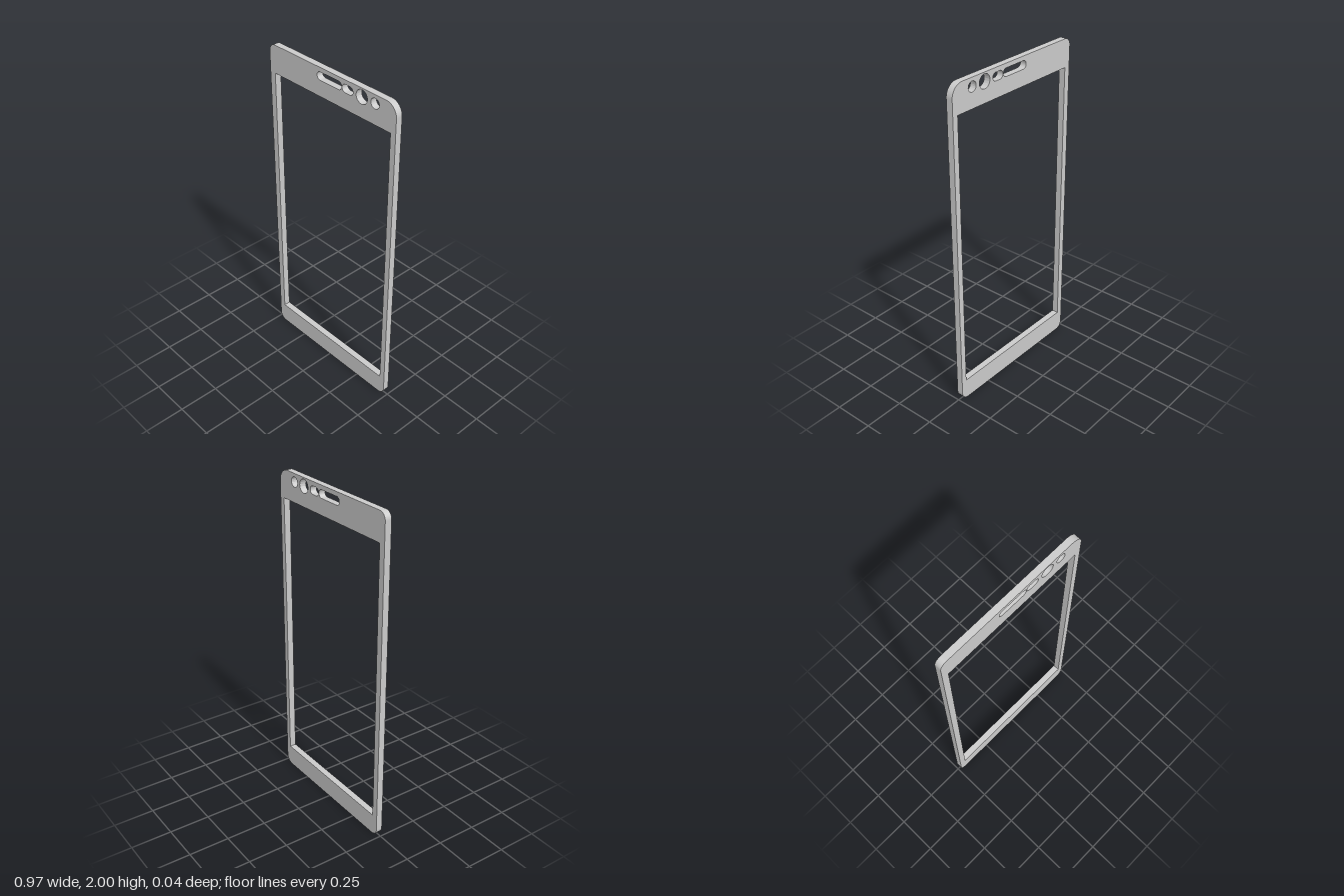
import * as THREE from 'three';

const DEPTH = 0.04;

// Rounded rectangle traced anticlockwise, one radius per corner
function roundedRect(path, x0, y0, x1, y1, { bl, br, tr, tl }) {
  const q = Math.PI / 2;
  path.absarc(x0 + bl, y0 + bl, bl, 2 * q, 3 * q, false);
  path.absarc(x1 - br, y0 + br, br, 3 * q, 4 * q, false);
  path.absarc(x1 - tr, y1 - tr, tr, 0, q, false);
  path.absarc(x0 + tl, y1 - tl, tl, q, 2 * q, false);
  path.closePath();
  return path;
}

// Rounded opening, given by its centre and half sizes
function slot(cx, cy, hw, hh) {
  const r = hh * 0.98;
  return roundedRect(new THREE.Path(), cx - hw, cy - hh, cx + hw, cy + hh,
    { bl: r, br: r, tr: r, tl: r });
}

function hole(cx, cy, r) {
  return new THREE.Path().absarc(cx, cy, r, 0, Math.PI * 2, false);
}

export function createModel() {
  const group = new THREE.Group();
  group.name = 'screenBezel';

  // Outer outline, with a larger radius on the upper left corner
  const outline = roundedRect(new THREE.Shape(), -0.485, 0, 0.485, 2,
    { bl: 0.045, br: 0.05, tr: 0.075, tl: 0.045 });

  // Display window
  const display = new THREE.Path([
    [-0.445, 0.13], [0.449, 0.13], [0.449, 1.83], [-0.445, 1.83],
  ].map(([x, y]) => new THREE.Vector2(x, y)));
  display.closePath();

  // Earpiece slot, sensor slot, camera hole and small sensor hole
  outline.holes.push(
    display,
    slot(-0.001, 1.95, 0.094, 0.024),
    slot(0.137, 1.95, 0.04, 0.024),
    hole(0.241, 1.95, 0.041),
    hole(0.336, 1.95, 0.03),
  );

  const geometry = new THREE.ExtrudeGeometry(outline, {
    depth: DEPTH, bevelEnabled: false, curveSegments: 10,
  });
  geometry.translate(0, 0, -DEPTH / 2);

  const frame = new THREE.Mesh(geometry,
    new THREE.MeshStandardMaterial({ color: 0xcccccc, flatShading: true }));
  frame.name = 'frontFrame';
  group.add(frame);
  return group;
}
